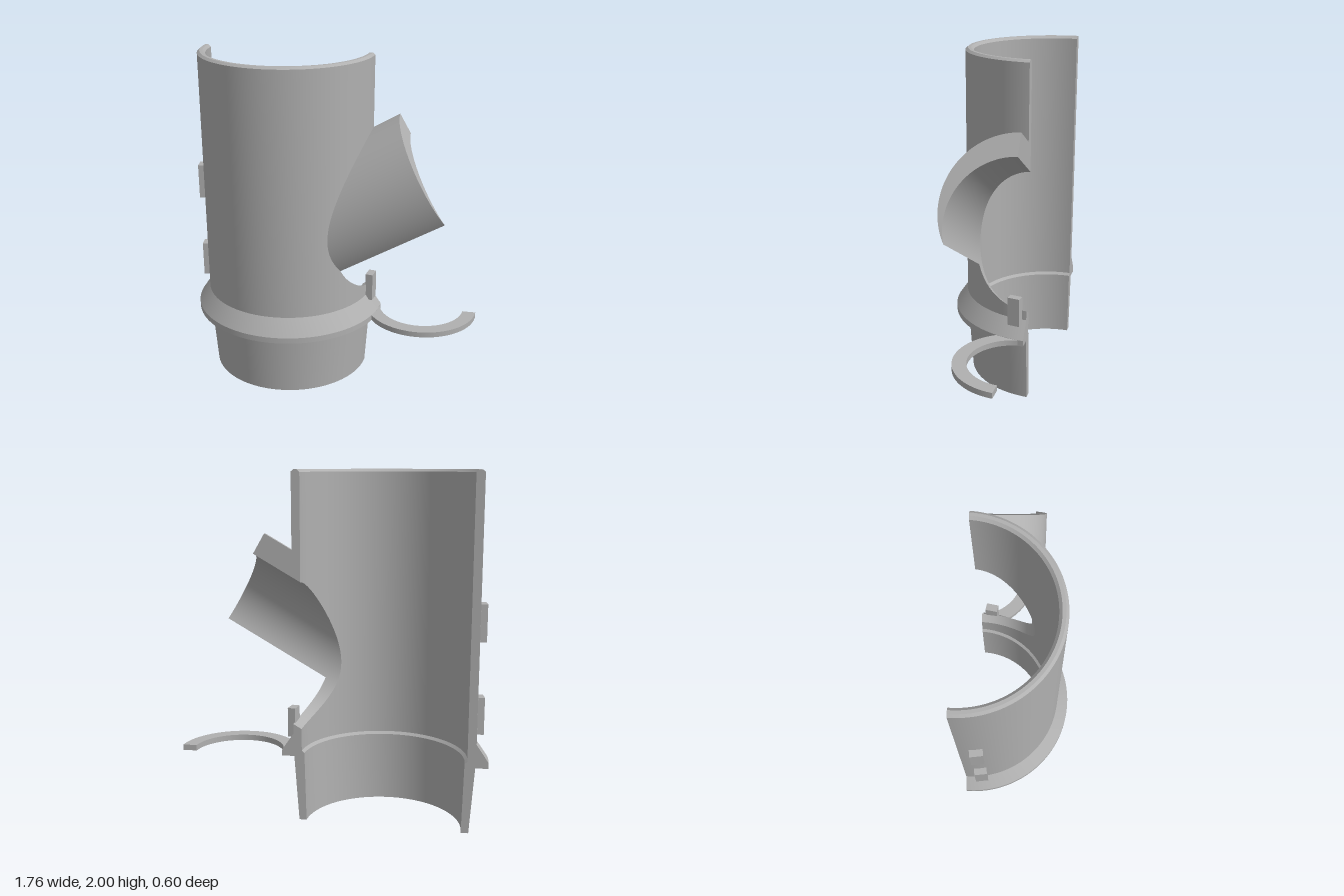
import * as THREE from 'three';
import { mergeGeometries, toCreasedNormals } from 'three/addons/utils/BufferGeometryUtils.js';

const AX = -0.2975, AZ = -0.28;            // pipe axis
const RO = 0.5175, RI = 0.47, GAP = 0.02;  // pipe radii, offset of the cut planes
const C = Math.cos(Math.PI / 6), S = Math.sin(Math.PI / 6);
const BX = 0.574, BY = 1.305;              // centre of the branch mouth
const BR = 0.405, HR = 0.365, HU = -0.09;  // branch radius, bore radius, bore offset

// Skin a row of closed loops; the loop at capIndex is closed with a face towards -z
function loft(rings, capIndex) {
  const n = rings[0].length, pos = [], idx = [];
  rings.forEach(r => r.forEach(p => pos.push(p.x, p.y, p.z)));
  const tri = (a, b, c, flip) => flip ? idx.push(a, c, b) : idx.push(a, b, c);
  const flip = THREE.ShapeUtils.area(rings[0]) < 0;
  for (let k = 0; k < rings.length - 1; k++) {
    for (let i = 0; i < n; i++) {
      const a = k * n + i, b = k * n + (i + 1) % n;
      tri(a, b, b + n, flip);
      tri(a, b + n, a + n, flip);
    }
  }
  if (capIndex !== undefined) {
    const flat = rings[capIndex].map(p => new THREE.Vector2(p.x, p.y));
    for (const [a, b, c] of THREE.ShapeUtils.triangulateShape(flat, [])) {
      const up = THREE.ShapeUtils.area([flat[a], flat[b], flat[c]]) > 0;
      const o = capIndex * n;
      tri(o + a, o + b, o + c, up);
    }
  }
  const g = new THREE.BufferGeometry();
  g.setAttribute('position', new THREE.Float32BufferAttribute(pos, 3));
  g.setIndex(idx);
  return g.toNonIndexed();
}

// Height at which the slanted bore crosses a pipe surface of radius r
function boreY(r, w, side) {
  const x = AX + Math.sqrt(r * r - w * w);
  const u = HU + side * Math.sqrt(Math.max(0, HR * HR - w * w));
  return BY + (x - BX) * S / C + u / C;
}

// Wall sections as [radius, height]
const outerLow = [[0.487, 0], [0.514, 0.385], [0.585, 0.385], [0.585, 0.42], [RO, 0.52]];
const innerLow = [[RI, 0.42], [0.455, 0.405], [0.445, 0]];
const rim = [[RO, 1.988], [0.503, 2], [0.485, 2], [RI, 1.985]];

function bodyGeometry() {
  const upper = [], lower = [], rest = [];
  const place = (r, y, a) => new THREE.Vector3(AX + r * Math.cos(a), y, AZ + r * Math.sin(a));
  // Side with the bore: wall above and below the opening
  const f0 = Math.asin(GAP / HR), N = 40;
  for (let i = 0; i <= N; i++) {
    const w = HR * Math.sin(f0 + (Math.PI / 2 - f0) * i / N);
    const ring = prof => prof.map(([r, y]) => place(r, y, Math.asin(w / r)));
    upper.push(ring([[RO, boreY(RO, w, 1)], ...rim, [RI, boreY(RI, w, 1)]]));
    lower.push(ring([...outerLow, [RO, boreY(RO, w, -1)], [RI, boreY(RI, w, -1)], ...innerLow]));
  }
  // Remaining uninterrupted wall
  const M = 64;
  for (let i = 0; i <= M; i++) {
    rest.push([...outerLow, ...rim, ...innerLow].map(([r, y]) => {
      const a = Math.asin(HR / r), b = Math.PI + Math.asin(GAP / r);
      return place(r, y, a + (b - a) * i / M);
    }));
  }
  return toCreasedNormals(mergeGeometries([loft(upper, 0), loft(lower, 0), loft(rest, M)]), 0.4);
}

// Crescent-shaped branch: outer cylinder minus the offset bore
function branchGeometry() {
  const tipU = (BR * BR - HR * HR + HU * HU) / (2 * HU);
  const a0 = Math.asin(GAP / BR), a1 = Math.acos(tipU / BR);
  const b0 = Math.asin(GAP / HR), b1 = Math.acos((tipU - HU) / HR);
  const at = (u, w, t) => new THREE.Vector3(BX + t * C - u * S, BY + t * S + u * C, AZ + w);
  const start = (u, w) => (AX + Math.sqrt(RO * RO - w * w) - BX + u * S) / C;
  const rings = [], N = 48;
  for (let i = 0; i <= N; i++) {
    const a = a0 + (a1 - a0) * i / N, b = b0 + (b1 - b0) * i / N;
    const u = BR * Math.cos(a), w = BR * Math.sin(a);
    const v = HU + HR * Math.cos(b), q = HR * Math.sin(b);
    rings.push([at(u, w, start(u, w)), at(u, w, 0), at(v, q, 0), at(v, q, start(v, q))]);
  }
  return toCreasedNormals(loft(rings, 0), 0.4);
}

// Flat half ring beside the collar
function halfRingGeometry() {
  const ro = 0.34, ri = 0.26, s = new THREE.Shape();
  const eo = Math.asin(GAP / ro), ei = Math.asin(GAP / ri);
  s.absarc(0, 0, ro, eo, Math.PI - eo, false);
  s.absarc(0, 0, ri, Math.PI - ei, ei, true);
  const g = new THREE.ExtrudeGeometry(s, { depth: 0.033, bevelEnabled: false, curveSegments: 40 });
  g.rotateX(Math.PI / 2);
  g.translate(0.54, 0.419, AZ);
  return toCreasedNormals(g, 0.4);
}

export function createModel() {
  const model = new THREE.Group();
  model.name = 'halfPipeBranch';
  const grey = new THREE.MeshStandardMaterial({ color: 0xb0b0b0 });
  grey.name = 'grey';
  const add = (name, geometry) => {
    const m = new THREE.Mesh(geometry, grey);
    m.name = name;
    model.add(m);
    return m;
  };
  add('pipeBody', bodyGeometry());
  add('sideBranch', branchGeometry());
  add('halfRing', halfRingGeometry());

  // Small upright tabs set square to the pipe wall: [name, angle, bottom, height, radius]
  const tabs = [
    ['upperLeftTab', Math.PI - 0.145, 1.08, 0.21, 0.532],
    ['lowerLeftTab', Math.PI - 0.145, 0.56, 0.21, 0.532],
    ['rightTab', 0.16, 0.49, 0.17, 0.535],
  ];
  for (const [name, a, y, h, r] of tabs) {
    const tab = add(name, new THREE.BoxGeometry(0.045, h, 0.073));
    tab.position.set(AX + r * Math.cos(a), y + h / 2, AZ + r * Math.sin(a));
    tab.rotation.y = -a;
  }
  return model;
}
